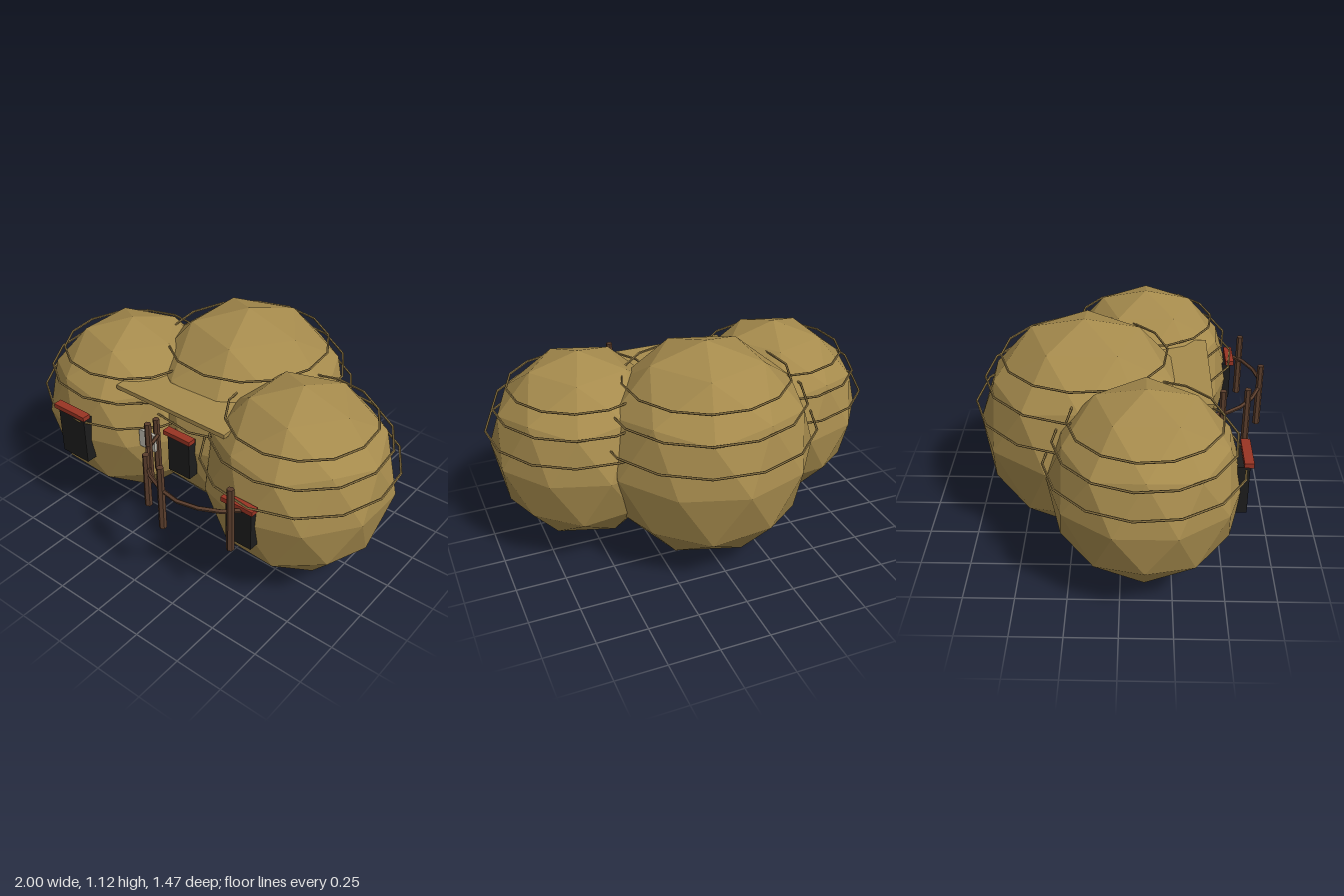
import * as THREE from 'three';

export function createModel() {
  const model = new THREE.Group();
  model.name = 'hutCluster';

  const mat = (name, color) => {
    const m = new THREE.MeshStandardMaterial({ color, flatShading: true });
    m.name = name;
    return m;
  };
  const clay = mat('clay', 0xa68b4d);
  const band = mat('band', 0x8a7342);
  const dark = mat('doorway', 0x1d1d1d);
  const red = mat('lintelRed', 0x9a3423);
  const wood = mat('wood', 0x5a3d2c);
  const pale = mat('paleBoard', 0xbcb9ae);

  const add = (name, geometry, material, parent = model) => {
    const mesh = new THREE.Mesh(geometry, material);
    mesh.name = name;
    parent.add(mesh);
    return mesh;
  };
  // Box given by its minimum and maximum corners
  const box = (name, material, [x0, y0, z0], [x1, y1, z1], parent) =>
    add(name, new THREE.BoxGeometry(x1 - x0, y1 - y0, z1 - z0), material, parent)
      .position.set((x0 + x1) / 2, (y0 + y1) / 2, (z0 + z1) / 2);

  // Faceted round huts, each wrapped by three loose bands [radius, height]
  const huts = [
    { name: 'rightHut', at: [-0.53, 0.547, 0.115], r: 0.462, h: 0.485,
      bands: [[0.355, 0.88], [0.425, 0.78], [0.472, 0.665]] },
    { name: 'leftHut', at: [0.522, 0.549, 0.115], r: 0.464, h: 0.492,
      bands: [[0.355, 0.885], [0.43, 0.785], [0.475, 0.667]] },
    { name: 'middleHut', at: [-0.02, 0.565, -0.185], r: 0.537, h: 0.562,
      bands: [[0.408, 0.95], [0.492, 0.834], [0.545, 0.70]] },
  ];
  const tilt = Math.atan(2 / (1 + Math.sqrt(5)));
  for (const { name, at, r, h, bands } of huts) {
    const hut = new THREE.Group();
    hut.name = name;
    model.add(hut);
    // Turn the icosphere so that a corner points straight up
    const shell = new THREE.IcosahedronGeometry(1, 1).rotateZ(-tilt).scale(r, h, r);
    add('shell', shell, clay, hut).position.set(...at);
    for (const [radius, y] of bands) {
      const ring = new THREE.TorusGeometry(radius, 0.006, 5, 14).rotateX(Math.PI / 2).rotateY(-0.12);
      add('band', ring, band, hut).position.set(at[0], y, at[2]);
    }
  }

  // Awning over the middle entrance
  box('awning', clay, [-0.352, 0.83, -0.05], [0.317, 0.852, 0.432]);

  // Doorways with red lintels: [name, x0, x1, door top, lintel bottom, front z]
  const doors = [
    ['rightDoor', -0.617, -0.443, 0.682, 0.69, 0.588],
    ['leftDoor', 0.447, 0.59, 0.642, 0.642, 0.588],
    ['middleDoor', -0.085, 0.05, 0.645, 0.645, 0.375],
  ];
  for (const [name, x0, x1, top, base, z] of doors) {
    const door = new THREE.Group();
    door.name = name;
    model.add(door);
    box('opening', dark, [x0, 0.43, z - 0.06], [x1, top, z - 0.003], door);
    box('lintel', red, [x0 - 0.016, base, z - 0.032], [x1 + 0.016, base + 0.024, z + 0.012], door);
  }

  // Pale board beside the middle entrance
  box('noticeBoard', pale, [-0.22, 0.55, 0.415], [-0.12, 0.648, 0.431]);

  // Curved fence: posts [x, z, top] joined by one straight-segmented rail
  const fence = new THREE.Group();
  fence.name = 'fence';
  model.add(fence);
  const posts = [[-0.13, 0.40, 0.73], [-0.09, 0.50, 0.775], [0.02, 0.635, 0.725],
    [0.18, 0.712, 0.775], [0.515, 0.635, 0.775]];
  for (const [x, z, top] of posts) {
    add('post', new THREE.CylinderGeometry(0.017, 0.019, top - 0.43, 6), wood, fence)
      .position.set(x, (top + 0.43) / 2, z);
  }
  const path = [[-0.115, 0.41], [-0.09, 0.50], [0.02, 0.63], [0.17, 0.705],
    [0.31, 0.72], [0.48, 0.655], [0.56, 0.575]].map(([x, z]) => new THREE.Vector3(x, 0.643, z));
  add('rail', new THREE.TubeGeometry(new THREE.CatmullRomCurve3(path), 8, 0.011, 5), wood, fence);

  return model;
}
